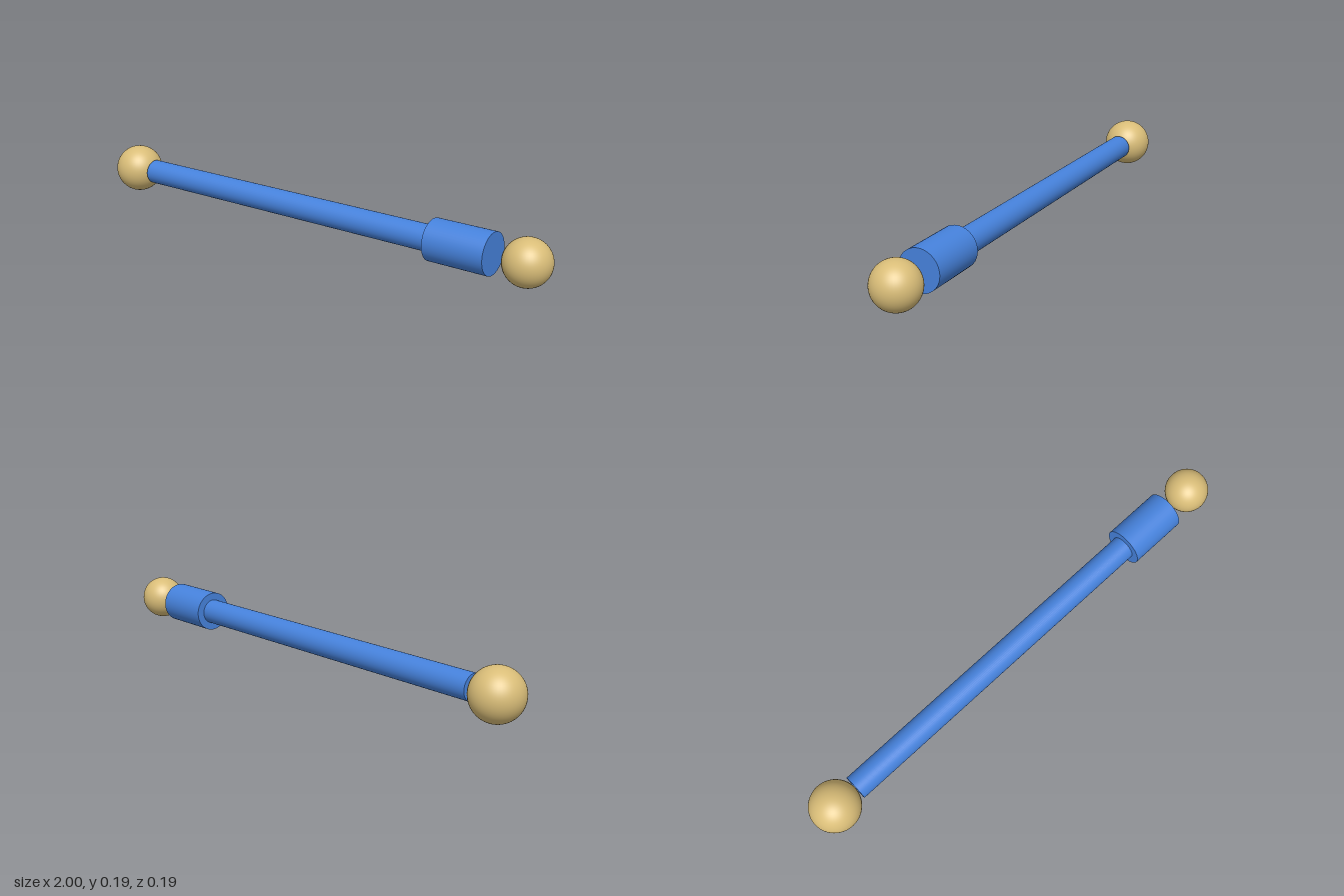
import * as THREE from 'three';

export function createModel() {
  const model = new THREE.Group();
  model.name = 'rodWithBalls';
  const blue = new THREE.MeshStandardMaterial({ name: 'blue', color: 0x4682dc });
  const gold = new THREE.MeshStandardMaterial({ name: 'paleGold', color: 0xd9bd78 });
  const axisY = 0.097;

  const add = (name, geometry, material, x) => {
    const mesh = new THREE.Mesh(geometry, material);
    mesh.name = name;
    mesh.position.set(x, axisY, 0);
    model.add(mesh);
  };
  // Capped cylinder lying along x
  const bar = (name, radius, x0, x1) =>
    add(name, new THREE.CylinderGeometry(radius, radius, x1 - x0, 48).rotateZ(-Math.PI / 2), blue, (x0 + x1) / 2);
  const ball = (name, radius, x) =>
    add(name, new THREE.SphereGeometry(radius, 48, 32), gold, x);

  // Shaft and thicker collar
  bar('shaft', 0.048, -0.81, 0.557);
  bar('collar', 0.077, 0.557, 0.79);

  // End balls; the smaller one floats just beyond the collar
  ball('largeBall', 0.095, -0.905);
  ball('smallBall', 0.085, 0.915);

  return model;
}
